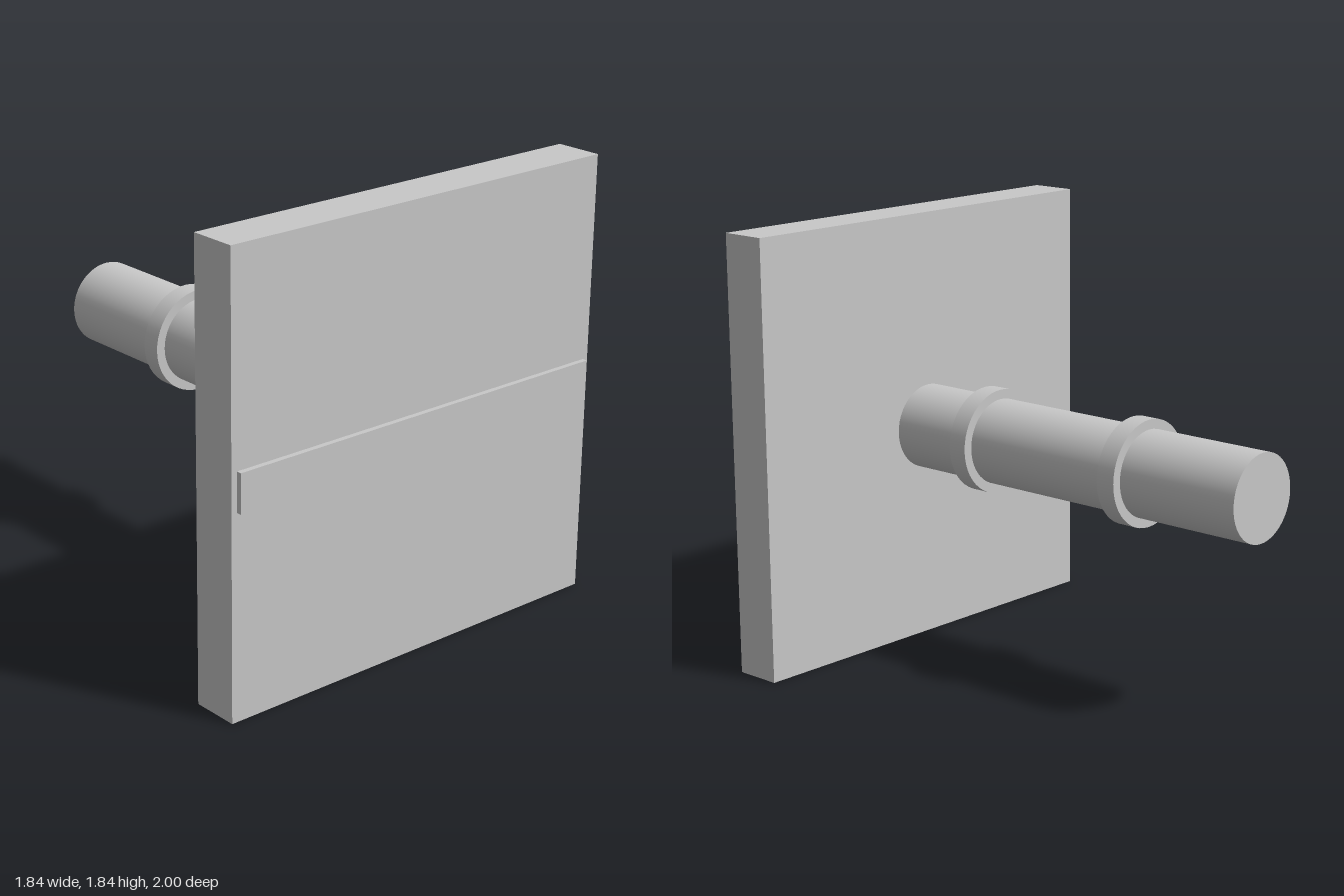
import * as THREE from 'three';

export function createModel() {
  const model = new THREE.Group();
  const grey = new THREE.MeshStandardMaterial({ color: 0xc8c8c8 });
  grey.name = 'plain grey';
  const axisY = 0.92;

  const add = (name, geometry, x, y, z) => {
    const mesh = new THREE.Mesh(geometry, grey);
    mesh.name = name;
    mesh.position.set(x, y, z);
    model.add(mesh);
  };
  // Cylinder lying along z
  const rod = (radius, length) =>
    new THREE.CylinderGeometry(radius, radius, length, 48).rotateX(Math.PI / 2);

  // Square head plate with a thin raised strip across its front
  add('headPlate', new THREE.BoxGeometry(1.84, 1.84, 0.2), 0, axisY, 0.878);
  add('frontStrip', new THREE.BoxGeometry(1.79, 0.16, 0.022), 0, 0.92, 0.989);

  // Round shaft running back from the plate
  add('shaft', rod(0.18, 1.79), 0, axisY, -0.105);

  // Two collars around the shaft
  for (const [name, z] of [['frontCollar', 0.397], ['rearCollar', -0.402]]) {
    add(name, rod(0.22, 0.085), 0, axisY, z);
  }
  return model;
}
